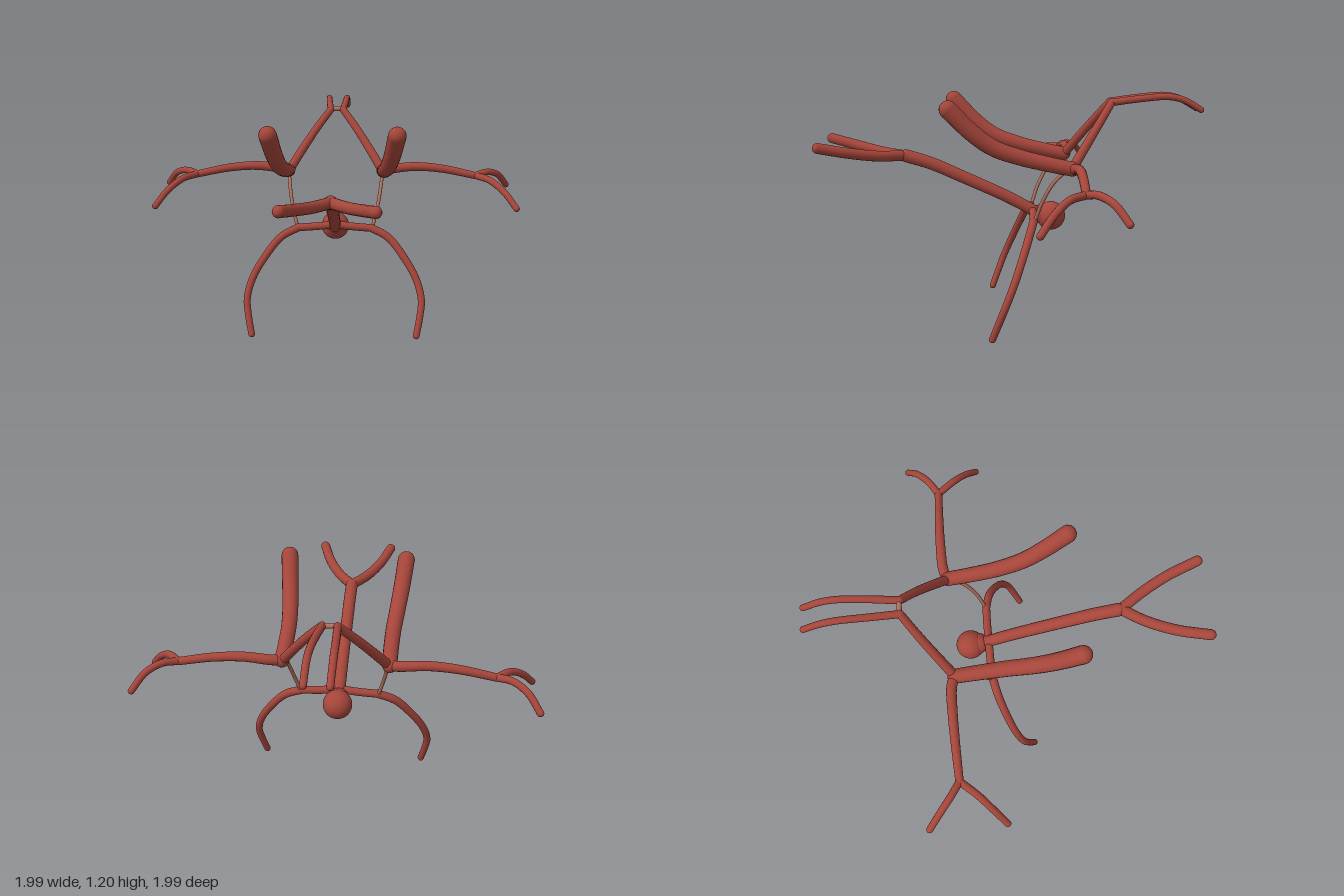
import * as THREE from 'three';

const red = new THREE.MeshStandardMaterial({ color: 0xa5453a });
red.name = 'brick red';
const tan = new THREE.MeshStandardMaterial({ color: 0xb0705c });
tan.name = 'dull copper';

// Smooth round limb through the given points, tapering from r0 to r1, with rounded ends
function limb(name, points, r0, r1 = r0, material = red) {
  const group = new THREE.Group();
  group.name = name;
  const curve = new THREE.CatmullRomCurve3(points.map((p) => new THREE.Vector3(...p)), false, 'centripetal');
  const steps = 40, sides = 16;
  const geo = new THREE.TubeGeometry(curve, steps, r0, sides, false);
  const pos = geo.attributes.position;
  const v = new THREE.Vector3();
  for (let i = 0; i <= steps; i++) {
    const centre = curve.getPointAt(i / steps);
    const s = 1 + (r1 / r0 - 1) * (i / steps);
    for (let j = 0; j <= sides; j++) {
      const k = i * (sides + 1) + j;
      v.fromBufferAttribute(pos, k).sub(centre).multiplyScalar(s).add(centre);
      pos.setXYZ(k, v.x, v.y, v.z);
    }
  }
  const tube = new THREE.Mesh(geo, material);
  tube.name = name + 'Tube';
  group.add(tube);
  [[0, r0], [1, r1]].forEach(([t, r]) => {
    const cap = new THREE.Mesh(new THREE.SphereGeometry(r, 16, 12), material);
    cap.name = name + 'End';
    cap.position.copy(curve.getPointAt(t));
    group.add(cap);
  });
  return group;
}

export function createModel() {
  const model = new THREE.Group();
  model.name = 'branchingFigure';

  // Central trunk, rising toward the front
  model.add(limb('trunk', [[0, 0.58, -0.11], [0, 0.65, 0.02], [0, 0.76, 0.26], [0, 0.83, 0.42], [0, 0.87, 0.55]], 0.031, 0.034));

  // Round knob behind the hips with a narrowing neck
  const knob = new THREE.Mesh(new THREE.SphereGeometry(0.076, 32, 24), red);
  knob.name = 'tailKnob';
  knob.position.set(0, 0.546, -0.213);
  model.add(knob);
  model.add(limb('knobNeck', [[0, 0.575, -0.115], [0, 0.565, -0.14], [0, 0.555, -0.17]], 0.028, 0.055));

  // Short link between the two rear arms
  model.add(limb('rearLink', [[-0.035, 1.153, -0.522], [0, 1.153, -0.522], [0.035, 1.153, -0.522]], 0.012, 0.012, tan));

  // Paired limbs
  for (const s of [1, -1]) {
    const side = s > 0 ? 'left' : 'right';
    const add = (part, pts, r0, r1, mat) =>
      model.add(limb(side + part, pts.map(([x, y, z]) => [s * x, y, z]), r0, r1, mat));

    add('FrontFork', [[0, 0.872, 0.56], [0.08, 0.88, 0.68], [0.15, 0.905, 0.82], [0.2, 0.938, 0.97]], 0.028, 0.027);
    add('Hip', [[0, 0.578, -0.115], [0.1, 0.567, -0.115], [0.2, 0.56, -0.112]], 0.021);
    add('Leg', [[0.2, 0.56, -0.112], [0.29, 0.515, -0.09], [0.38, 0.41, -0.05], [0.445, 0.3, -0.008],
      [0.472, 0.2, 0.032], [0.465, 0.12, 0.062], [0.445, 0.018, 0.1]], 0.022, 0.018);
    add('Strut', [[0.207, 0.57, -0.12], [0.232, 0.67, -0.155], [0.25, 0.77, -0.21], [0.26, 0.84, -0.28]], 0.0095, 0.0095, tan);
    add('ThickArm', [[0.264, 0.84, -0.3], [0.264, 0.865, -0.18], [0.268, 0.9, -0.04], [0.28, 0.948, 0.09],
      [0.294, 1.02, 0.19], [0.311, 1.14, 0.31]], 0.037, 0.045);
    add('SideArm', [[0.26, 0.838, -0.3], [0.32, 0.848, -0.318], [0.45, 0.86, -0.322], [0.6, 0.848, -0.32], [0.78, 0.812, -0.315]], 0.027, 0.02);
    add('SideForkBack', [[0.78, 0.812, -0.315], [0.85, 0.823, -0.362], [0.92, 0.797, -0.42], [0.98, 0.725, -0.477]], 0.019, 0.017);
    add('SideForkFront', [[0.78, 0.812, -0.315], [0.85, 0.802, -0.235], [0.92, 0.752, -0.165], [0.98, 0.677, -0.103]], 0.019, 0.017);
    add('RearArm', [[0.26, 0.84, -0.3], [0.2, 0.93, -0.363], [0.115, 1.05, -0.448], [0.035, 1.15, -0.52]], 0.025, 0.02);
    add('RearProng', [[0.035, 1.15, -0.52], [0.046, 1.17, -0.67], [0.053, 1.18, -0.81], [0.055, 1.163, -0.89], [0.055, 1.113, -0.98]], 0.019, 0.016);
  }
  return model;
}
